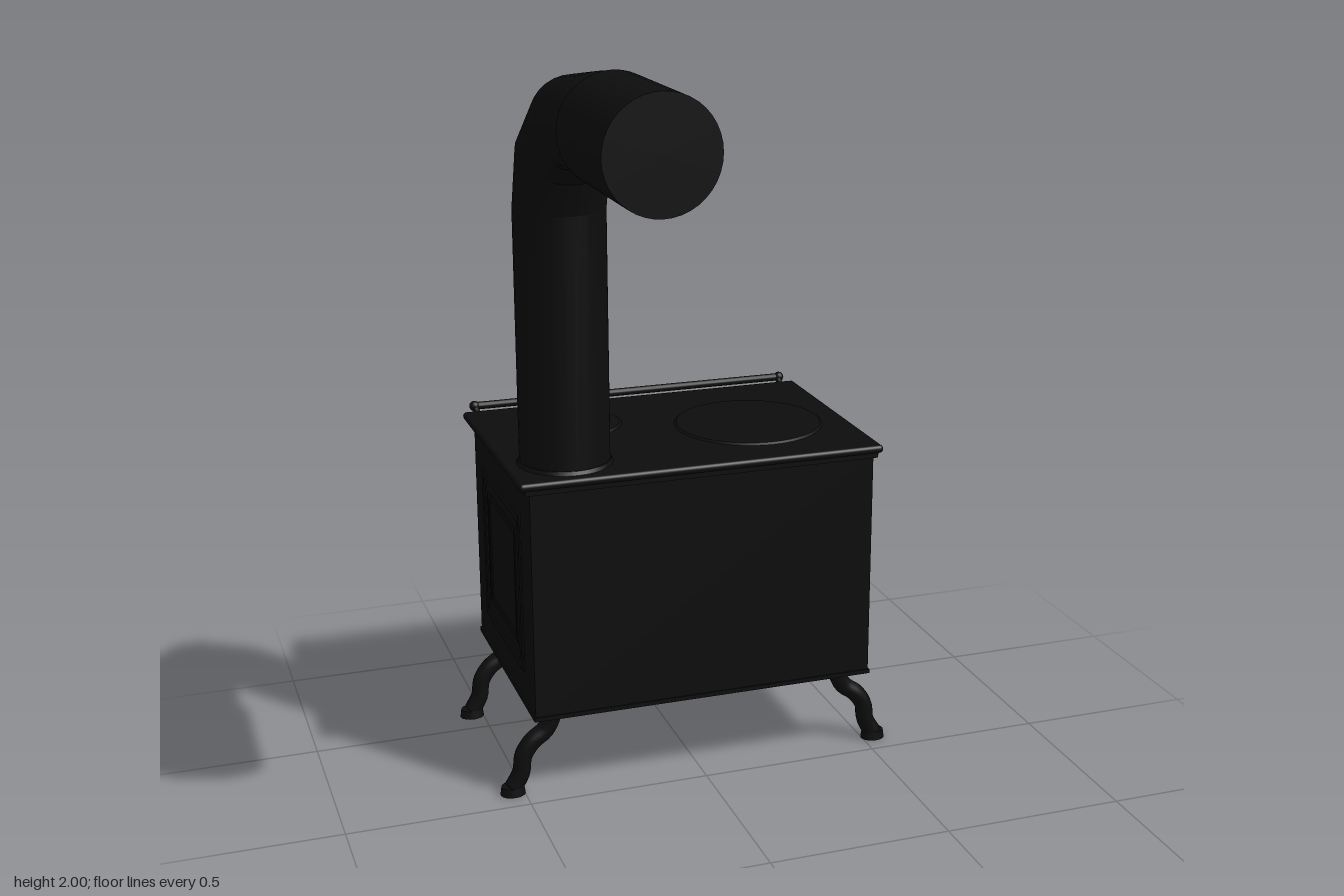
import * as THREE from 'three';
import { RoundedBoxGeometry } from 'three/addons/geometries/RoundedBoxGeometry.js';
import { toCreasedNormals } from 'three/addons/utils/BufferGeometryUtils.js';

const mat = (name, color) => Object.assign(new THREE.MeshStandardMaterial({ color }), { name });

export function createModel() {
  const iron = mat('black iron', 0x0d0d0d);
  const steel = mat('door steel', 0x444444);
  const glass = mat('door pane', 0x555555);
  const root = new THREE.Group();
  root.name = 'stove';

  const add = (parent, name, geo, m, x = 0, y = 0, z = 0) => {
    const mesh = new THREE.Mesh(geo, m);
    mesh.name = name;
    mesh.position.set(x, y, z);
    parent.add(mesh);
    return mesh;
  };
  const box = (parent, name, w, h, d, m, x, y, z) =>
    add(parent, name, new THREE.BoxGeometry(w, h, d), m, x, y, z);

  // Bevelled rectangular frame standing on the local z = 0 plane
  const frame = (parent, name, x0, x1, y0, y1, border, depth, m, z = 0) => {
    const b = Math.min(0.006, depth / 2);
    const rect = (P, i) => {
      const p = new P();
      p.moveTo(x0 + i, y0 + i);
      p.lineTo(x1 - i, y0 + i);
      p.lineTo(x1 - i, y1 - i);
      p.lineTo(x0 + i, y1 - i);
      p.closePath();
      return p;
    };
    const s = rect(THREE.Shape, b);
    s.holes.push(rect(THREE.Path, border));
    const geo = new THREE.ExtrudeGeometry(s, {
      depth: depth - b, bevelEnabled: true, bevelThickness: b, bevelSize: b, bevelSegments: 1,
    });
    add(parent, name, geo, m, 0, 0, z);
  };

  // Round knob pointing along local +z
  const knob = (parent, name, x, y, z, r, len, m) => {
    const pts = [[0, 0], [r * 0.75, 0], [r * 0.4, len * 0.25], [r * 0.35, len * 0.6],
      [r, len * 0.75], [r * 0.9, len * 0.92], [0, len]].map(([a, b]) => new THREE.Vector2(a, b));
    add(parent, name, new THREE.LatheGeometry(pts, 20), m, x, y, z).rotation.x = Math.PI / 2;
  };

  // Firebox body and top plate
  box(root, 'body', 0.96, 0.65, 0.645, iron, 0, 0.565, -0.3245);
  box(root, 'bottomTrim', 0.968, 0.012, 0.653, iron, 0, 0.246, -0.3245);
  add(root, 'topPlate', new RoundedBoxGeometry(1.015, 0.022, 0.68, 3, 0.01), iron, 0, 0.901, -0.333);
  box(root, 'topMoulding', 0.985, 0.014, 0.66, iron, 0, 0.885, -0.328);

  // Cooking lids, each with a raised rim
  for (const [x, z, r] of [[0.23, -0.31, 0.21], [-0.23, -0.46, 0.13]]) {
    add(root, 'cookingLid', new THREE.CylinderGeometry(r - 0.008, r, 0.006, 48), iron, x, 0.914, z);
  }

  // Panelled ends
  for (const s of [-1, 1]) {
    const end = new THREE.Group();
    end.name = s > 0 ? 'leftEnd' : 'rightEnd';
    end.position.set(s * 0.48, 0, -0.325);
    end.rotation.y = s * Math.PI / 2;
    root.add(end);
    frame(end, 'endFrame', -0.215, 0.215, 0.34, 0.79, 0.025, 0.007, iron);
    frame(end, 'endInnerFrame', -0.16, 0.16, 0.4, 0.73, 0.015, 0.005, iron);
  }

  // Door face, built facing local +z and turned round
  const face = new THREE.Group();
  face.name = 'doorFace';
  face.position.z = -0.645;
  face.rotation.y = Math.PI;
  root.add(face);

  // Glazed fire door with knob and hinges
  frame(face, 'fireDoorSurround', 0.02, 0.46, 0.395, 0.815, 0.03, 0.012, iron);
  box(face, 'fireDoorBase', 0.39, 0.37, 0.018, steel, 0.24, 0.605, 0.009);
  frame(face, 'fireDoorFrame', 0.04, 0.44, 0.415, 0.795, 0.045, 0.03, steel);
  frame(face, 'fireDoorBead', 0.095, 0.385, 0.47, 0.74, 0.022, 0.026, steel);
  box(face, 'fireDoorPane', 0.25, 0.23, 0.006, glass, 0.24, 0.605, 0.02);
  knob(face, 'fireDoorKnob', 0.066, 0.63, 0.028, 0.03, 0.033, steel);
  for (const y of [0.5, 0.71]) {
    add(face, 'hinge', new THREE.CylinderGeometry(0.012, 0.012, 0.05, 14), steel, 0.45, y, 0.02);
    box(face, 'hingeStrap', 0.035, 0.022, 0.008, steel, 0.43, y, 0.032);
  }

  // Oven door, lower door and ash drawer
  const panel = (name, x0, x1, y0, y1, depth) => {
    box(face, name, x1 - x0, y1 - y0, depth * 0.5, iron, (x0 + x1) / 2, (y0 + y1) / 2, depth * 0.25);
    frame(face, name + 'Frame', x0, x1, y0, y1, 0.022, depth, iron);
  };
  panel('ovenDoor', -0.41, -0.08, 0.49, 0.815, 0.028);
  panel('lowerDoor', -0.41, -0.08, 0.28, 0.47, 0.02);
  panel('ashDrawer', 0.04, 0.44, 0.275, 0.37, 0.016);
  knob(face, 'ovenDoorKnob', -0.355, 0.525, 0.022, 0.028, 0.053, iron);

  // Towel rail with brackets and end knobs
  const rail = add(root, 'rail', new THREE.CylinderGeometry(0.011, 0.011, 0.95, 14), iron, 0, 0.92, -0.692);
  rail.rotation.z = Math.PI / 2;
  for (const s of [-1, 1]) {
    add(root, 'railEnd', new THREE.SphereGeometry(0.015, 14, 10), iron, s * 0.468, 0.92, -0.692);
    const path = new THREE.CatmullRomCurve3([[0.9, -0.64], [0.904, -0.668], [0.92, -0.692]]
      .map(([y, z]) => new THREE.Vector3(s * 0.465, y, z)));
    add(root, 'railBracket', new THREE.TubeGeometry(path, 8, 0.009, 8), iron);
  }

  // Curved legs with pads and feet
  const legPoints = [[0.41, 0.25], [0.418, 0.215], [0.437, 0.178], [0.475, 0.148],
    [0.5, 0.11], [0.508, 0.06], [0.53, 0.02]];
  for (const s of [-1, 1]) {
    for (const z of [-0.075, -0.585]) {
      const leg = new THREE.Group();
      leg.name = 'leg';
      leg.position.z = z;
      root.add(leg);
      const path = new THREE.CatmullRomCurve3(legPoints.map(([x, y]) => new THREE.Vector3(s * x, y, 0)));
      add(leg, 'legShaft', new THREE.TubeGeometry(path, 24, 0.025, 12), iron);
      add(leg, 'legFoot', new THREE.CylinderGeometry(0.026, 0.029, 0.024, 18), iron, s * 0.532, 0.012, 0)
        .scale.x = 1.2;
      box(leg, 'legPad', 0.08, 0.012, 0.07, iron, s * 0.41, 0.237, 0);
    }
  }

  // Flue: mitred rings [front z, front y, rear z, rear y] lofted into one pipe
  const rings = [[-0.03, 0.905, -0.272, 0.905], [-0.03, 1.59, -0.272, 1.59], [0, 1.675, -0.203, 1.805],
    [0.07, 1.72, 0, 1.947], [0.22, 1.744, 0.25, 1.985], [0.36, 1.744, 0.36, 1.985]];
  const N = 32, pos = [], idx = [];
  rings.forEach(([az, ay, bz, by], r) => {
    for (let i = 0; i < N; i++) {
      const a = (i / N) * Math.PI * 2, c = Math.cos(a) / 2;
      pos.push(Math.sin(a) * 0.121, (ay + by) / 2 + c * (ay - by), (az + bz) / 2 + c * (az - bz));
      if (r) {
        const j = (i + 1) % N, p = (r - 1) * N, q = r * N;
        idx.push(p + i, p + j, q + j, p + i, q + j, q + i);
      }
    }
  });
  const flue = new THREE.BufferGeometry();
  flue.setAttribute('position', new THREE.Float32BufferAttribute(pos, 3));
  flue.setIndex(idx);
  add(root, 'fluePipe', toCreasedNormals(flue, 0.3), iron, -0.345);

  add(root, 'flueSleeve', new THREE.CylinderGeometry(0.136, 0.136, 0.367, 40), iron, -0.345, 1.864, 0.5365)
    .rotation.x = Math.PI / 2;
  add(root, 'flueCollar', new THREE.CylinderGeometry(0.124, 0.13, 0.012, 32), iron, -0.345, 0.916, -0.151);

  return root;
}
